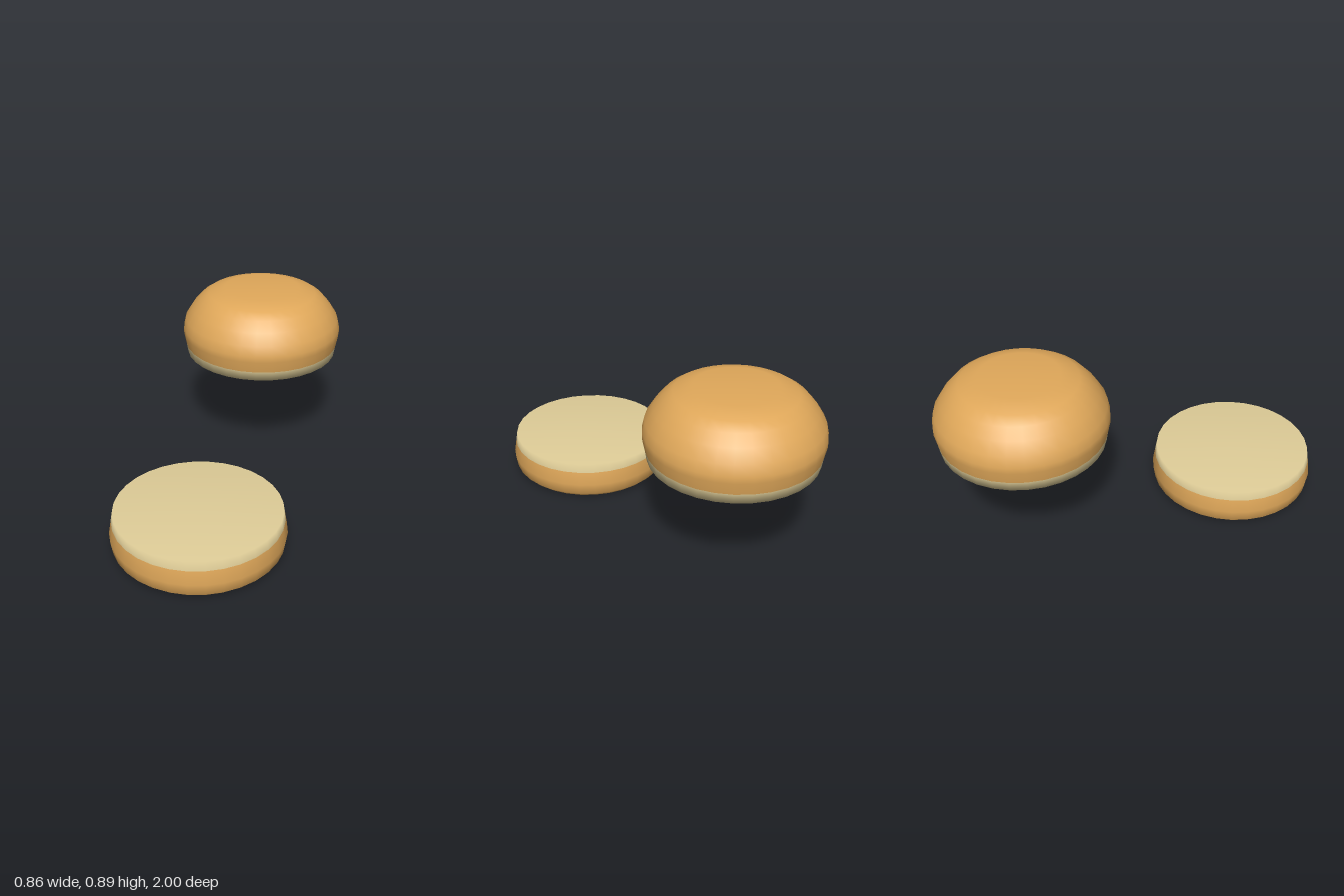
import * as THREE from 'three';

const crustMat = new THREE.MeshStandardMaterial({ color: 0xe0a85a });
crustMat.name = 'golden crust';
const crumbMat = new THREE.MeshStandardMaterial({ color: 0xdfcd98 });
crumbMat.name = 'pale crumb';

// Smooth solid of revolution; the profile runs from bottom to top as [radius, height]
function turned(name, profile, material) {
  const points = profile.map(([r, y]) => new THREE.Vector2(r, y));
  const mesh = new THREE.Mesh(new THREE.LatheGeometry(points, 32), material);
  mesh.name = name;
  return mesh;
}

function bun(name, z, ...parts) {
  const group = new THREE.Group();
  group.name = name;
  group.position.z = z;
  group.add(...parts);
  return group;
}

export function createModel() {
  const model = new THREE.Group();
  model.name = 'bunHalves';

  // Bottom half: flat base, cut face upwards
  model.add(bun('bottomBun', 0.57,
    turned('bottomCrust', [[0, 0], [0.393, 0], [0.42, 0.025], [0.43, 0.085], [0.418, 0.155]], crustMat),
    turned('bottomCrumb', [[0.418, 0.155], [0.41, 0.202], [0, 0.202]], crumbMat)));

  // Top half: domed crust, cut face downwards
  model.add(bun('topBun', -0.57,
    turned('topCrumb', [[0, 0.53], [0.41, 0.53], [0.418, 0.58]], crumbMat),
    turned('topCrust', [[0.418, 0.58], [0.43, 0.64], [0.43, 0.672], [0.418, 0.725], [0.38, 0.785],
      [0.336, 0.835], [0.29, 0.865], [0.2, 0.893], [0, 0.893]], crustMat)));

  return model;
}
